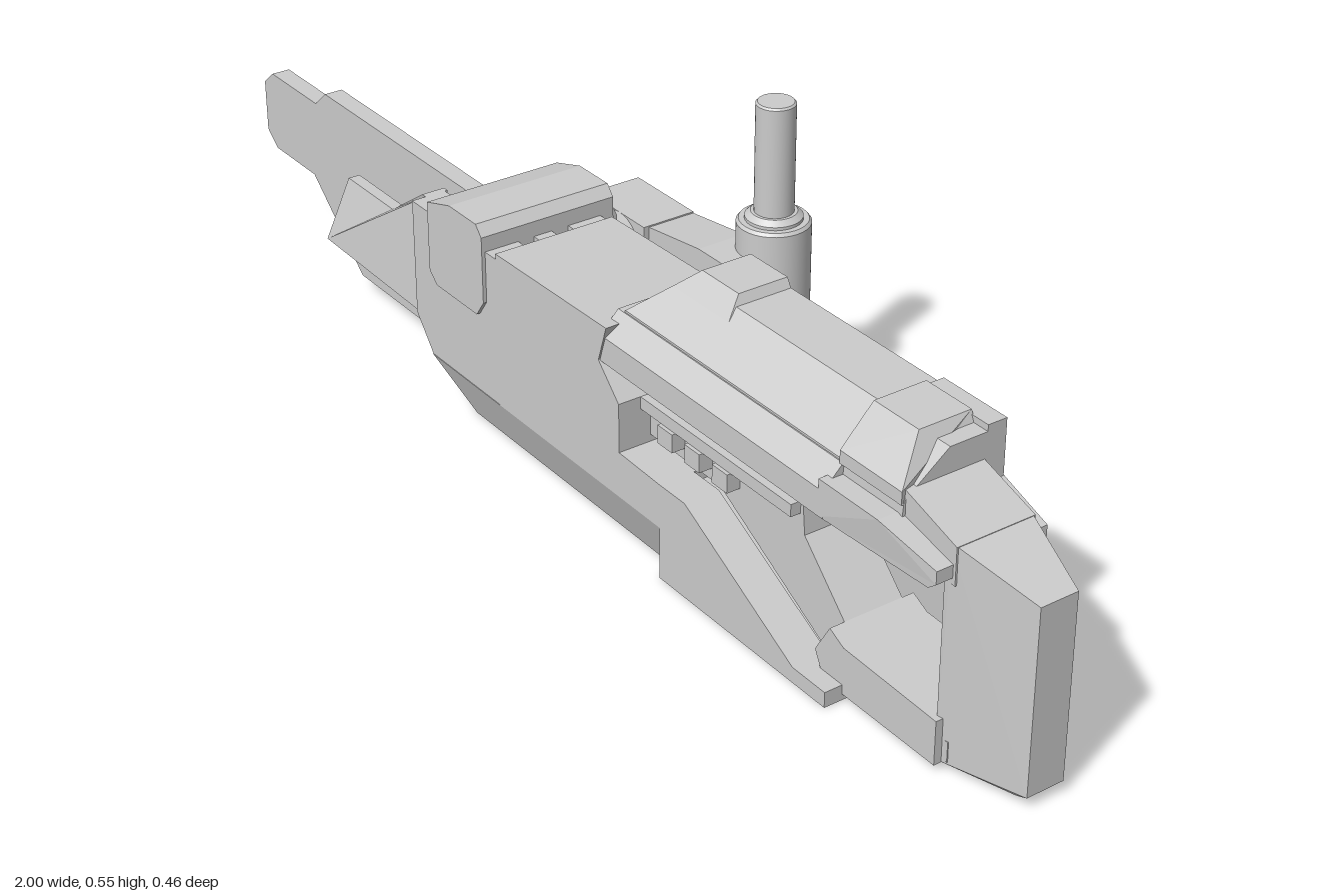
import * as THREE from 'three';

const mat = new THREE.MeshStandardMaterial({ color: 0xcccccc, flatShading: true });
const smooth = new THREE.MeshStandardMaterial({ color: 0xcccccc });
const MID = 0.12; // centre plane of the weapon

export function createModel() {
  const model = new THREE.Group();

  const add = (name, geo, m = mat) => {
    const mesh = new THREE.Mesh(geo, m);
    mesh.name = name;
    model.add(mesh);
    return mesh;
  };

  // Move every vertex by a rule.
  const bend = (geo, rule) => {
    const p = geo.attributes.position;
    const v = new THREE.Vector3();
    for (let i = 0; i < p.count; i++) {
      v.fromBufferAttribute(p, i);
      rule(v);
      p.setXYZ(i, v.x, v.y, v.z);
    }
    geo.computeVertexNormals();
    return geo;
  };

  const outline = (pts) => new THREE.Shape(pts.map(([x, y]) => new THREE.Vector2(x, y)));

  // Side outline (x, y) extruded from z0 to z1.
  const plate = (name, pts, z0, z1, rule) => {
    const geo = new THREE.ExtrudeGeometry(outline(pts), { depth: z1 - z0, bevelEnabled: false });
    geo.translate(0, 0, z0);
    return add(name, rule ? bend(geo, rule) : geo);
  };

  // Cross-section (z, y) extruded from x0 to x1.
  const along = (name, pts, x0, x1, rule) => {
    const geo = new THREE.ExtrudeGeometry(outline(pts.map(([z, y]) => [-z, y])), { depth: x1 - x0, bevelEnabled: false });
    geo.rotateY(Math.PI / 2).translate(x0, 0, 0);
    return add(name, rule ? bend(geo, rule) : geo);
  };

  const box = (name, x0, x1, y0, y1, z0, z1) =>
    add(name, new THREE.BoxGeometry(x1 - x0, y1 - y0, z1 - z0)
      .translate((x0 + x1) / 2, (y0 + y1) / 2, (z0 + z1) / 2));

  // Long central blade
  plate('blade', [[-1, 0.19], [-0.97, 0.165], [-0.84, 0.165], [-0.69, 0.035], [-0.1, 0.035], [-0.1, 0.335],
    [-0.785, 0.335], [-0.82, 0.305], [-0.97, 0.305], [-1, 0.28]], 0.105, 0.137);

  // Front cheek, its forward face leaning inwards towards the top
  plate('frontCheek', [[-0.67, 0.135], [-0.36, 0.14], [-0.36, 0.335], [-0.37, 0.335], [-0.5, 0.25], [-0.64, 0.25]],
    0.16, 0.22, (v) => {
      if (v.z > 0.2 && v.y > 0.2) v.z = v.x < -0.45 ? 0.18 : 0.2;
      else if (v.z > 0.2 && v.x < -0.6) v.z = 0.21;
    });
  plate('frontSidePanel', [[-0.36, 0.14], [-0.315, 0.085], [-0.12, 0.085], [-0.12, 0.335], [-0.36, 0.335]], 0.165, 0.224);

  // Thin back cheek, flaring out where it meets the body
  plate('backCheek', [[-0.77, 0.14], [-0.38, 0.14], [-0.38, 0.3], [-0.45, 0.25], [-0.77, 0.25]], 0.05, 0.065,
    (v) => { if (v.z > 0.06 && v.x > -0.6) v.z = 0.08; });
  plate('backCheekFlare', [[-0.38, 0.14], [-0.31, 0.14], [-0.31, 0.335], [-0.38, 0.3]], 0.02, 0.08,
    (v) => { if (v.z < 0.05 && v.x < -0.35) v.z = 0.05; });
  plate('backSidePanel', [[-0.36, 0.14], [-0.315, 0.085], [-0.12, 0.085], [-0.12, 0.335], [-0.31, 0.335], [-0.31, 0.14]], 0.016, 0.075);

  // Main body and its tapered keel
  plate('body', [[-0.12, 0.085], [0.3, 0.085], [0.3, 0.157], [0.2, 0.16], [0.2, 0.24], [0.15, 0.29], [0.17, 0.35], [-0.12, 0.345]],
    0.015, 0.225);
  plate('keel', [[-0.315, 0.085], [-0.24, 0.003], [0.3, 0.003], [0.3, 0.085]], 0.015, 0.225,
    (v) => { if (v.y < 0.05) v.z = MID + (v.z - MID) * 0.7; });

  // Lower skirts sweeping back to a point under the handle
  for (const [z0, z1] of [[0.015, 0.075], [0.165, 0.225]]) {
    plate('lowerSkirt', [[0.3, 0], [0.68, 0], [0.68, 0.025], [0.61, 0.025], [0.36, 0.157], [0.3, 0.157]], z0, z1);
  }
  plate('skirtFloor', [[0.3, 0], [0.62, 0], [0.35, 0.14], [0.3, 0.14]], 0.07, 0.17);

  // Grip core and lower handle bar
  plate('gripCore', [[0.18, 0.172], [0.37, 0.17], [0.64, 0.02], [0.66, 0.09], [0.56, 0.19], [0.55, 0.29], [0.18, 0.29]], 0.07, 0.17);
  plate('handleBar', [[0.64, 0.01], [0.87, 0.01], [0.87, 0.08], [0.68, 0.085], [0.65, 0.1], [0.62, 0.05]], 0.05, 0.195);
  for (const z of [0.07, 0.174]) box('handleLug', 0.83, 0.88, 0.015, 0.047, z - 0.008, z + 0.008);

  // Ribs on both sides of the grip
  for (const z of [0.065, 0.175]) {
    box('gripRail', 0.2, 0.55, 0.22, 0.24, z - 0.012, z + 0.012);
    for (let i = 0; i < 3; i++) {
      box('gripRib', 0.25 + i * 0.065, 0.285 + i * 0.065, 0.19, 0.22, z - 0.018, z + 0.018);
      box('gripTooth', 0.25 + i * 0.065, 0.285 + i * 0.065, 0.265, 0.29, z - 0.018, z + 0.018);
    }
  }

  // Rear post, narrowing towards its end face
  plate('rearPost', [[0.86, 0.01], [0.98, 0.012], [1, 0.02], [1, 0.312], [0.87, 0.35], [0.86, 0.35]], 0.055, 0.185,
    (v) => { if (v.x > 0.95) v.z = MID + (v.z - MID) * 0.48; });
  plate('postBridge', [[0.76, 0.29], [0.88, 0.29], [0.88, 0.348], [0.78, 0.38], [0.76, 0.38]], 0.055, 0.185);

  // Upper rails and chamfered receiver
  along('upperRail', [[0.018, 0.288], [0.222, 0.288], [0.222, 0.33], [0.19, 0.362], [0.018, 0.362]], 0.15, 0.66);
  for (const s of [-1, 1]) {
    plate('rearRail', [[0.65, 0.288], [0.86, 0.288], [0.875, 0.3], [0.875, 0.32], [0.77, 0.345], [0.65, 0.345]],
      MID + s * 0.08 - 0.022, MID + s * 0.08 + 0.022,
      (v) => { if (v.x > 0.85) v.z -= s * 0.01; });
  }
  along('receiver', [[0.02, 0.34], [0.19, 0.34], [0.188, 0.365], [0.115, 0.42], [0.02, 0.42]], 0.15, 0.78,
    (v) => { if (v.x < 0.2) v.x += Math.max(0, v.y - 0.35); });
  along('receiverFrontRidge', [[0.02, 0.4], [0.14, 0.4], [0.105, 0.434], [0.02, 0.434]], 0.2, 0.34,
    (v) => { if (v.y > 0.42) v.x += v.x < 0.25 ? 0.035 : -0.02; });
  along('receiverRearCap', [[0.05, 0.36], [0.192, 0.36], [0.192, 0.38], [0.138, 0.436], [0.05, 0.436]], 0.655, 0.78,
    (v) => { if (v.x > 0.7 && v.y > 0.42) v.x -= 0.035; });
  box('receiverBackStrip', 0.655, 0.78, 0.31, 0.43, 0.02, 0.052);

  // Clamp around the front of the body
  plate('clamp', [[-0.305, 0.24], [-0.285, 0.222], [-0.17, 0.222], [-0.15, 0.25], [-0.15, 0.36], [-0.165, 0.377],
    [-0.24, 0.377], [-0.305, 0.357]], -0.008, 0.23);
  along('clampBackPlate', [[0.02, 0.185], [-0.022, 0.185], [-0.022, 0.32], [-0.008, 0.35], [0.02, 0.35]], -0.29, -0.16);

  // Ringed pivot between the clamp and the side arm
  for (const [r, z, d] of [[0.05, -0.04, 0.06], [0.055, -0.031, 0.014], [0.055, -0.055, 0.02]]) {
    add('pivotRing', new THREE.CylinderGeometry(r, r, d, 32).rotateX(Math.PI / 2).translate(-0.215, 0.235, z), smooth);
  }

  // Side arm: end block, tapered link, rear bracket
  box('armEndBlock', -0.3, -0.15, 0.18, 0.29, -0.16, -0.065);
  plate('armLink', [[-0.17, 0.185], [-0.02, 0.12], [0.04, 0.12], [0.04, 0.305], [-0.02, 0.305], [-0.17, 0.285]], -0.16, -0.075);
  box('armBracket', 0.02, 0.18, 0.048, 0.185, -0.113, -0.062);
  box('bracketFoot', 0.1, 0.18, 0.048, 0.185, -0.113, 0.03);

  // Upright socket with a rod
  const profile = [[0, 0.048], [0.058, 0.048], [0.058, 0.35], [0.054, 0.355], [0.045, 0.355], [0.045, 0.36],
    [0.036, 0.368], [0.031, 0.368], [0.031, 0.545], [0.028, 0.548], [0, 0.548]];
  // Each band is its own surface, so edges stay sharp
  for (let i = 0; i < profile.length - 1; i++) {
    const pts = [profile[i], profile[i + 1]].map(([r, y]) => new THREE.Vector2(r, y));
    add(i < 4 ? 'socket' : 'rod', new THREE.LatheGeometry(pts, 32).translate(0.04, 0, -0.172), smooth);
  }

  return model;
}
